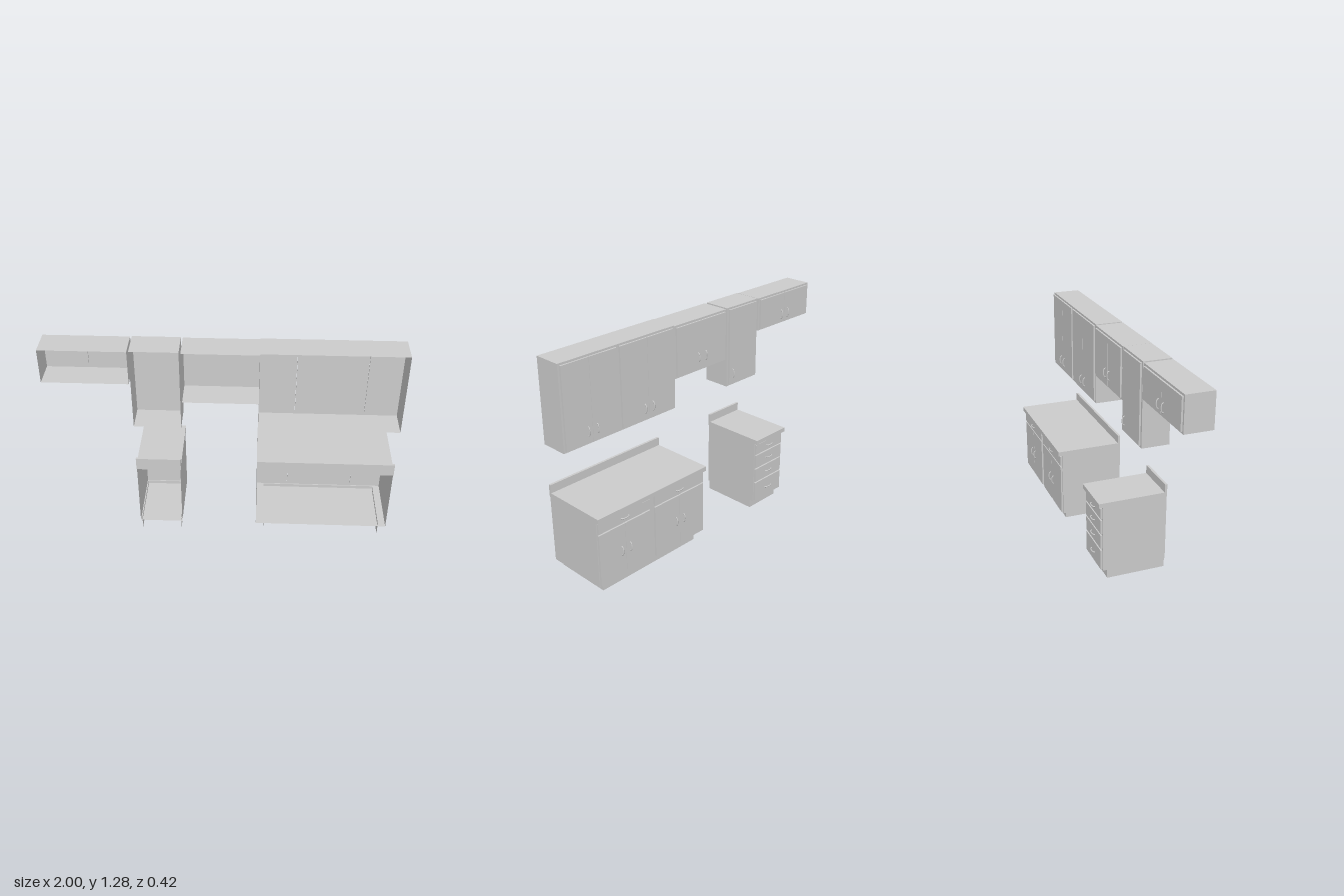
import * as THREE from 'three';

const grey = new THREE.MeshStandardMaterial({ color: 0xcccccc });
const thin = new THREE.MeshStandardMaterial({ color: 0xcccccc, side: THREE.DoubleSide });

function add(parent, name, geometry, material = grey) {
  const mesh = new THREE.Mesh(geometry, material);
  mesh.name = name;
  parent.add(mesh);
  return mesh;
}

// Solid box given by its limits
function box(parent, name, x0, x1, y0, y1, z0, z1) {
  const mesh = add(parent, name, new THREE.BoxGeometry(x1 - x0, y1 - y0, z1 - z0));
  mesh.position.set((x0 + x1) / 2, (y0 + y1) / 2, (z0 + z1) / 2);
}

// Thin sheets: side wall at x, shelf at y
function wall(parent, name, x, y0, y1, z0, z1) {
  const g = new THREE.PlaneGeometry(z1 - z0, y1 - y0).rotateY(Math.PI / 2);
  add(parent, name, g, thin).position.set(x, (y0 + y1) / 2, (z0 + z1) / 2);
}
function shelf(parent, name, y, x0, x1, z0, z1) {
  const g = new THREE.PlaneGeometry(x1 - x0, z1 - z0).rotateX(-Math.PI / 2);
  add(parent, name, g, thin).position.set((x0 + x1) / 2, y, (z0 + z1) / 2);
}

function trace(path, x0, x1, y0, y1) {
  path.moveTo(x0, y0).lineTo(x1, y0).lineTo(x1, y1).lineTo(x0, y1).closePath();
  return path;
}

// Face frame with an opening behind every door or drawer group
function faceFrame(parent, x0, x1, y0, y1, z, openings) {
  const shape = trace(new THREE.Shape(), x0, x1, y0, y1);
  for (const o of openings) shape.holes.push(trace(new THREE.Path(), ...o));
  add(parent, 'faceFrame', new THREE.ShapeGeometry(shape), thin).position.z = z;
}

// Bow handle standing out from a front at depth z
const bow = new THREE.CatmullRomCurve3([
  [-0.027, 0.003], [-0.024, -0.006], [-0.013, -0.011], [0.013, -0.011], [0.024, -0.006], [0.027, 0.003],
].map(([y, z]) => new THREE.Vector3(0, y, z)));
const handleGeometry = new THREE.TubeGeometry(bow, 16, 0.0035, 8);
function handle(parent, x, y, z, horizontal = false) {
  const mesh = add(parent, 'handle', handleGeometry);
  mesh.position.set(x, y, z);
  if (horizontal) mesh.rotation.z = Math.PI / 2;
}

// Pair of doors meeting at the middle, handles beside the gap
function doorPair(parent, x0, x1, y0, y1, z, handleY, mid = (x0 + x1) / 2) {
  box(parent, 'door', x0, mid - 0.001, y0, y1, z - 0.01, z);
  box(parent, 'door', mid + 0.001, x1, y0, y1, z - 0.01, z);
  for (const s of [-1, 1]) handle(parent, mid + s * 0.03, handleY, z - 0.01);
}

function drawer(parent, x0, x1, y0, y1, z) {
  box(parent, 'drawerFront', x0, x1, y0, y1, z - 0.01, z);
  handle(parent, (x0 + x1) / 2, (y0 + y1) / 2, z - 0.01, true);
}

// Hanging cabinet, open toward the wall
function wallCabinet(x0, x1, y0, y1, zBack, bays, handleY, single) {
  const g = new THREE.Group();
  g.name = 'wallCabinet';
  const z = 0.04;
  wall(g, 'sidePanel', x0, y0, y1, z, zBack);
  wall(g, 'sidePanel', x1, y0, y1, z, zBack);
  shelf(g, 'topPanel', y1, x0, x1, z, zBack);
  shelf(g, 'bottomPanel', y0, x0, x1, z, zBack);
  faceFrame(g, x0, x1, y0, y1, z, bays.map(([a, b]) => [a + 0.01, b - 0.01, y0 + 0.025, y1 - 0.025]));
  for (const [a, b, mid] of bays) {
    if (single) {
      box(g, 'door', a, b, y0 + 0.012, y1 - 0.012, z - 0.01, z);
      handle(g, b - 0.03, handleY, z - 0.01);
    } else doorPair(g, a, b, y0 + 0.012, y1 - 0.012, z, handleY, mid);
  }
  return g;
}

const FRONT = -0.182, BACK = 0.2;

// Floor cabinet shell with worktop, splashback and recessed toe kick
function baseCabinet(x0, x1, kick0, kick1, openings) {
  const g = new THREE.Group();
  g.name = 'baseCabinet';
  wall(g, 'sidePanel', x0 + 0.003, 0.06, 0.465, FRONT, BACK);
  wall(g, 'sidePanel', x1 - 0.003, 0.06, 0.465, FRONT, BACK);
  shelf(g, 'floorPanel', 0.06, x0 + 0.003, x1 - 0.003, FRONT, BACK);
  faceFrame(g, x0 + 0.003, x1 - 0.003, 0.06, 0.465, FRONT, openings);
  box(g, 'worktop', x0, x1, 0.465, 0.492, -0.207, BACK);
  box(g, 'splashback', x0, x1, 0.492, 0.542, 0.186, BACK);
  wall(g, 'kickSide', kick0, 0, 0.08, -0.152, BACK);
  wall(g, 'kickSide', kick1, 0, 0.08, -0.152, BACK);
  const kick = add(g, 'kickBoard', new THREE.PlaneGeometry(kick1 - kick0, 0.08), thin);
  kick.position.set((kick0 + kick1) / 2, 0.04, -0.152);
  return g;
}

export function createModel() {
  const model = new THREE.Group();
  model.name = 'kitchenCabinets';

  // Row of wall cabinets
  model.add(
    wallCabinet(-1, -0.515, 1.07, 1.275, 0.205, [[-0.988, -0.53]], 1.13),
    wallCabinet(-0.505, -0.235, 0.783, 1.278, 0.205, [[-0.49, -0.25]], 0.86, true),
    wallCabinet(-0.225, 0.2, 0.96, 1.275, 0.21, [[-0.213, 0.187]], 1.045),
    wallCabinet(0.2, 1, 0.783, 1.28, 0.205, [[0.215, 0.603, 0.41], [0.625, 0.988, 0.81]], 0.86),
  );

  // Narrow drawer unit
  const narrow = baseCabinet(-0.51, -0.247, -0.497, -0.257, []);
  for (const [y0, y1] of [[0.39, 0.453], [0.295, 0.38], [0.2, 0.285], [0.065, 0.188]]) {
    drawer(narrow, -0.498, -0.259, y0, y1, FRONT);
  }
  model.add(narrow);

  // Wide unit: two bays, each with a drawer above a pair of doors
  const bays = [[0.212, 0.59], [0.625, 0.99]];
  const openings = bays.flatMap(([a, b]) => [
    [a + 0.01, b - 0.01, 0.08, 0.37],
    [a + 0.01, b - 0.01, 0.4, 0.445],
  ]);
  const wide = baseCabinet(0.2, 1, 0.25, 0.95, openings);
  for (const [a, b] of bays) {
    drawer(wide, a, b, 0.39, 0.453, FRONT);
    doorPair(wide, a, b, 0.065, 0.382, FRONT, 0.222);
  }
  model.add(wide);

  return model;
}
